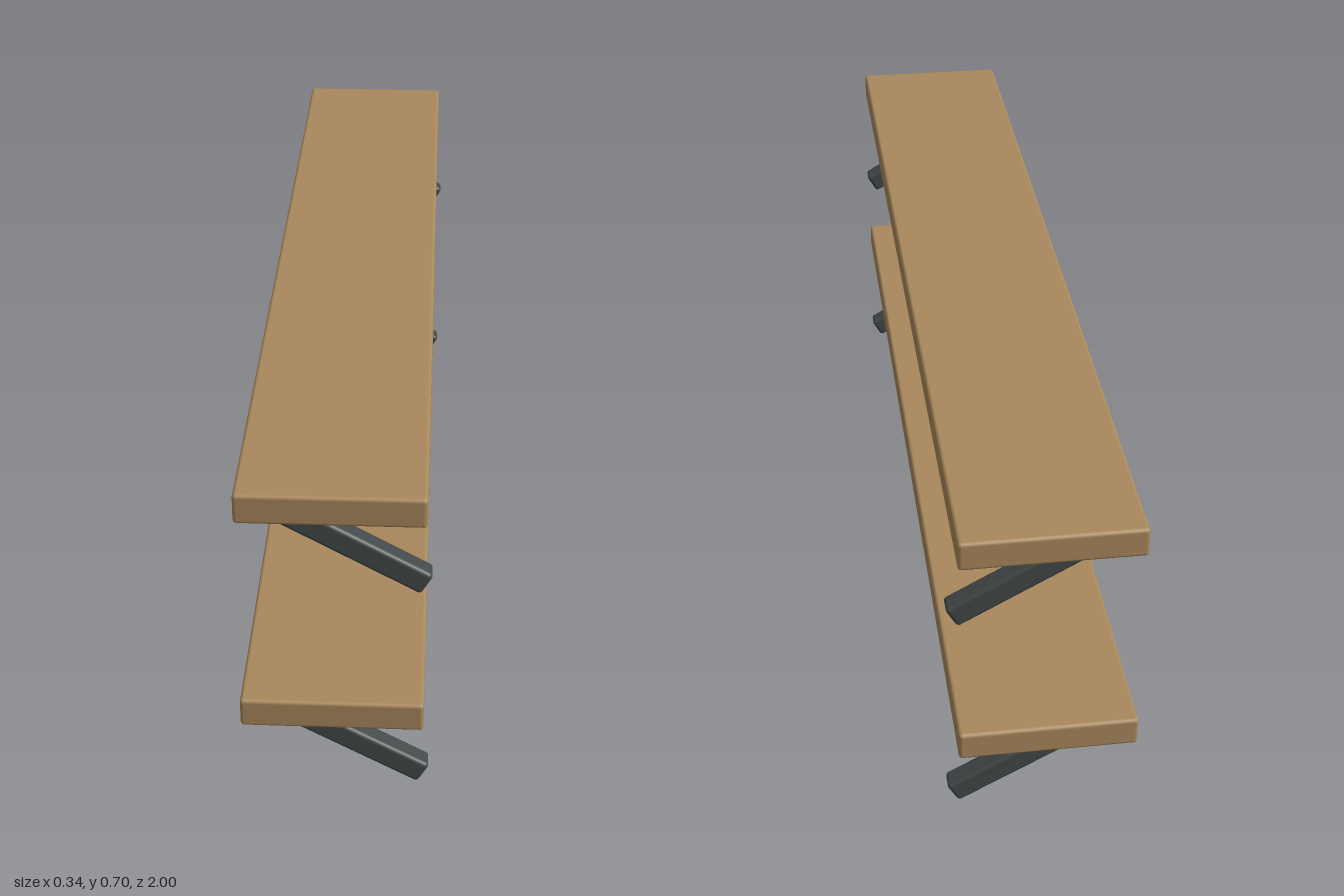
import * as THREE from 'three';
import { RoundedBoxGeometry } from 'three/addons/geometries/RoundedBoxGeometry.js';

export function createModel() {
  const group = new THREE.Group();
  group.name = 'wallShelves';

  const wood = new THREE.MeshStandardMaterial({ color: 0xa9885c });
  wood.name = 'oak wood';
  const metal = new THREE.MeshStandardMaterial({ color: 0x434848 });
  metal.name = 'dark metal';

  // Shared parts: long plank and slanted support arm
  const boardGeo = new RoundedBoxGeometry(0.334, 0.058, 2, 2, 0.007);
  const armGeo = new RoundedBoxGeometry(0.375, 0.047, 0.042, 3, 0.008);
  const tilt = -THREE.MathUtils.degToRad(29.5);

  // Two identical shelves, one above the other
  ['lower', 'upper'].forEach((level, i) => {
    const shelf = new THREE.Group();
    shelf.name = level + 'Shelf';
    shelf.position.y = i * 0.44;

    const board = new THREE.Mesh(boardGeo, wood);
    board.name = 'board';
    board.position.set(-0.005, 0.235, 0);
    shelf.add(board);

    // One arm near each end
    for (const side of [1, -1]) {
      const arm = new THREE.Mesh(armGeo, metal);
      arm.name = side > 0 ? 'frontBracket' : 'backBracket';
      arm.position.set(0, 0.11, side * 0.88);
      arm.rotation.z = tilt;
      shelf.add(arm);
    }
    group.add(shelf);
  });

  return group;
}
